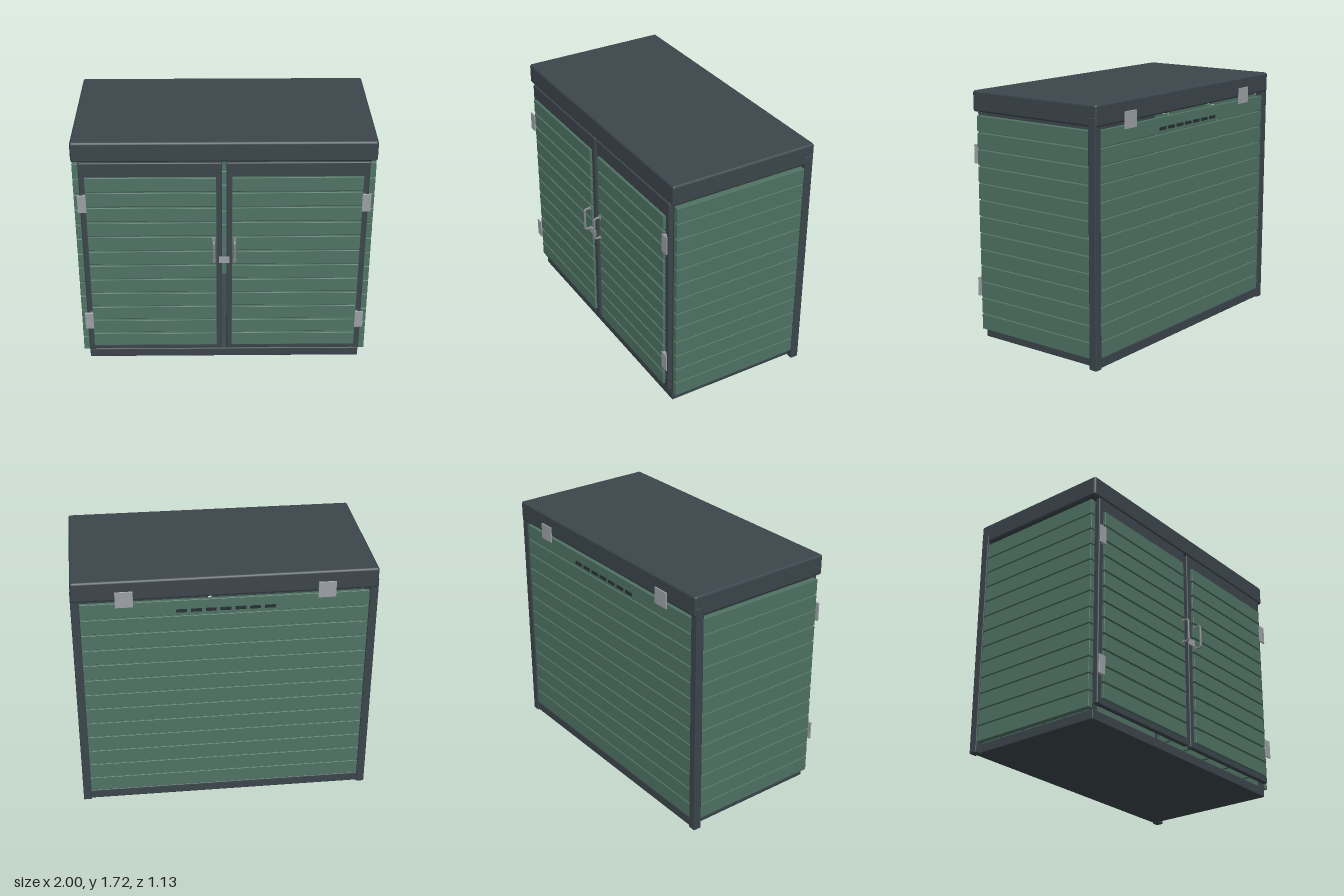
import * as THREE from 'three';
import { RoundedBoxGeometry } from 'three/addons/geometries/RoundedBoxGeometry.js';

const mat = (name, color) => Object.assign(new THREE.MeshStandardMaterial({ color }), { name });

export function createModel() {
  const green = mat('green boards', 0x4f7263);
  const slate = mat('slate frame', 0x3b454b);
  const metal = mat('light metal', 0x9b9fa3);
  const steel = mat('steel handle', 0x85888b);
  const vent = mat('dark vent', 0x272f33);

  const model = new THREE.Group();
  model.name = 'gardenStorageShed';

  // Box given by its min and max on each axis, with softened edges
  const box = (parent, name, material, [x0, x1], [y0, y1], [z0, z1], r = 0.004) => {
    const w = x1 - x0, h = y1 - y0, d = z1 - z0;
    const geo = r > 0
      ? new RoundedBoxGeometry(w, h, d, 2, Math.min(r, w / 2.1, h / 2.1, d / 2.1))
      : new THREE.BoxGeometry(w, h, d);
    const mesh = new THREE.Mesh(geo, material);
    mesh.name = name;
    mesh.position.set((x0 + x1) / 2, (y0 + y1) / 2, (z0 + z1) / 2);
    parent.add(mesh);
    return mesh;
  };
  // Same span on the +x or -x side
  const side = (s, a, b) => (s > 0 ? [a, b] : [-b, -a]);

  // Stack of horizontal boards with narrow gaps
  const boards = (name, count, x, [y0, y1], z, gap) => {
    const group = new THREE.Group();
    group.name = name;
    const pitch = (y1 - y0 + gap) / count;
    for (let i = 0; i < count; i++) {
      const y = y0 + i * pitch;
      box(group, 'board', green, x, [y, y + pitch - gap], z, 0.003);
    }
    model.add(group);
  };

  // Base and lid
  box(model, 'base', slate, [-0.953, 0.953], [0.005, 0.072], [-0.54, 0.462], 0.006);
  box(model, 'lid', slate, [-0.997, 0.997], [1.575, 1.717], [-0.556, 0.494], 0.016);

  // Walls
  boards('backWall', 13, [-0.945, 0.945], [0.072, 1.55], [-0.54, -0.515], 0.008);
  for (const s of [1, -1]) {
    boards('sideWall', 13, side(s, 0.955, 0.994), [0.072, 1.55], [-0.49, 0.462], 0.008);
    box(model, 'backPost', slate, side(s, 0.945, 1), [0, 1.635], [-0.548, -0.49], 0.006);
    box(model, 'frontPost', slate, side(s, 0.91, 0.957), [0.07, 1.55], [0.44, 0.46], 0);
  }

  // Doors with their hinges and handles
  for (const s of [1, -1]) {
    box(model, 'doorFrame', slate, side(s, 0.015, 0.95), [0.1, 1.572], [0.46, 0.495], 0.008);
    boards('doorBoards', 12, side(s, 0.052, 0.913), [0.14, 1.47], [0.485, 0.513], 0.012);

    for (const y of [0.355, 1.282]) {
      box(model, 'doorHinge', metal, side(s, 0.908, 0.966), [y - 0.065, y + 0.065], [0.512, 0.522], 0.002);
      box(model, 'hingeMount', metal, side(s, 0.908, 0.93), [y - 0.06, y + 0.06], [0.494, 0.514], 0);
    }

    const path = new THREE.CurvePath();
    const pts = [[1.003, 0.512], [1.003, 0.548], [0.993, 0.558], [0.85, 0.558], [0.84, 0.548], [0.84, 0.512]]
      .map(([y, z]) => new THREE.Vector3(s * 0.07, y, z));
    for (let i = 1; i < pts.length; i++) path.add(new THREE.LineCurve3(pts[i - 1], pts[i]));
    const handle = new THREE.Mesh(new THREE.TubeGeometry(path, 60, 0.008, 10), steel);
    handle.name = 'doorHandle';
    model.add(handle);
    for (const y of [0.84, 1.003]) {
      box(model, 'handleFoot', steel, side(s, 0.058, 0.082), [y - 0.012, y + 0.012], [0.494, 0.518], 0.002);
    }
  }

  // Latch across the two doors
  box(model, 'latch', metal, [-0.036, 0.036], [0.832, 0.88], [0.526, 0.535], 0.002);

  // Lid hinges on the back
  for (const s of [1, -1]) {
    box(model, 'lidHinge', metal, side(s, 0.6, 0.717), [1.53, 1.642], [-0.565, -0.555], 0.002);
  }

  // Row of vent slots in the top back board
  for (let i = -3; i <= 3; i++) {
    const x = i * 0.0965;
    box(model, 'ventSlot', vent, [x - 0.035, x + 0.035], [1.465, 1.486], [-0.546, -0.538], 0);
  }
  return model;
}
